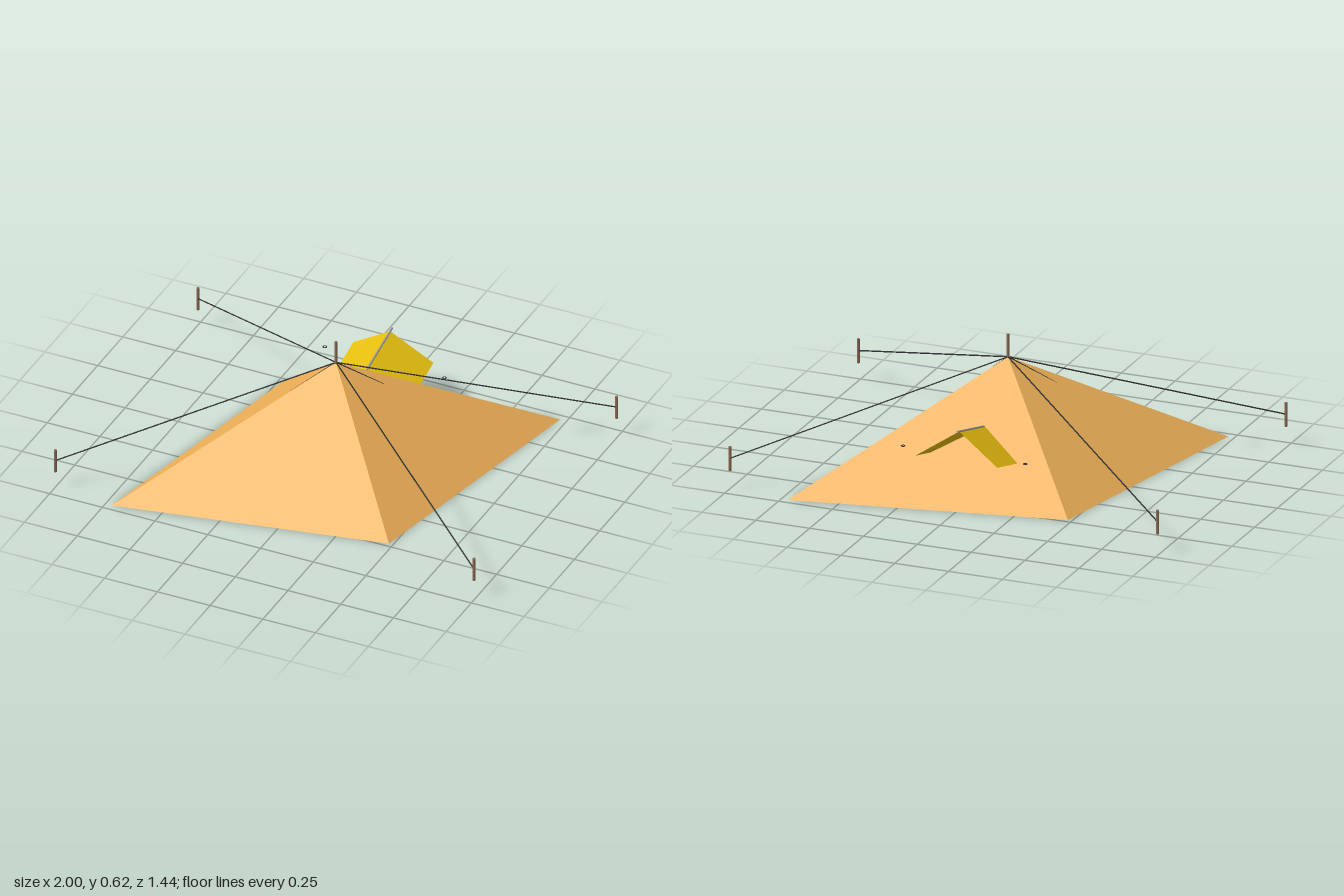
import * as THREE from 'three';

const APEX = new THREE.Vector3(0, 0.51, 0);

const paint = (color, extra = {}) => {
  const m = new THREE.MeshStandardMaterial({ color, ...extra });
  return m;
};

// Flat-shaded surface from corner points and triangles
function facets(points, triangles) {
  const g = new THREE.BufferGeometry();
  g.setAttribute('position', new THREE.Float32BufferAttribute(triangles.flat().flatMap(i => points[i]), 3));
  g.computeVertexNormals();
  return g;
}

// Round bar between two points
function bar(name, a, b, radius, material, sides = 8) {
  const mesh = new THREE.Mesh(new THREE.CylinderGeometry(radius, radius, a.distanceTo(b), sides), material);
  mesh.position.copy(a).lerp(b, 0.5);
  mesh.quaternion.setFromUnitVectors(new THREE.Vector3(0, 1, 0), b.clone().sub(a).normalize());
  mesh.name = name;
  return mesh;
}

export function createModel() {
  const model = new THREE.Group();
  model.name = 'tent';
  const V = (x, y, z) => new THREE.Vector3(x, y, z);
  const canvas = paint(0xf4b45a, { side: THREE.DoubleSide, flatShading: true });
  const yellow = paint(0xe8c010, { side: THREE.DoubleSide, flatShading: true });
  const wood = paint(0x8b6a55);
  const cord = paint(0x333333);
  const metal = paint(0x999999);

  // Skewed pyramid with a closed floor
  const corners = [
    APEX.toArray(),
    [-0.72, 0, 0.72], [0.48, 0, 0.48], [0.72, 0, -0.72], [-0.48, 0, -0.48],
  ];
  const tent = new THREE.Mesh(
    facets(corners, [[0, 1, 2], [0, 2, 3], [0, 3, 4], [0, 4, 1], [1, 4, 3], [1, 3, 2]]), canvas);
  tent.name = 'canvas';
  model.add(tent);

  // Centre pole
  model.add(bar('centrePole', V(0, 0.01, 0), V(0, 0.615, 0), 0.006, wood));

  // Stakes and guy ropes
  for (const sx of [-1, 1]) {
    for (const sz of [-1, 1]) {
      const x = 0.993 * sx, z = 0.708 * sz;
      model.add(bar('stake', V(x, 0.09, z), V(x, 0.2, z), 0.007, wood));
      model.add(bar('guyRope', APEX, V(x, 0.146, z), 0.003, cord, 6));
    }
  }

  // Short cords lying on the two side faces
  for (const s of [-1, 1]) {
    model.add(bar('sideCord', APEX, V(0.45 * s, 0.158, -0.315 * s), 0.003, cord, 6));
  }

  // Entrance awning, running into the rear face
  const awning = new THREE.Mesh(facets([
    [0, 0.355, -0.538], [0, 0.28, -0.25],
    [0.19, 0.228, -0.57], [0.19, 0.17, -0.35],
    [-0.19, 0.228, -0.57], [-0.19, 0.16, -0.31],
  ], [[0, 1, 3], [0, 3, 2], [0, 4, 5], [0, 5, 1]]), yellow);
  awning.name = 'awning';
  model.add(awning);
  model.add(bar('awningRidgePole', V(0, 0.285, -0.27), V(0, 0.36, -0.558), 0.005, metal));

  // Small rings either side of the awning
  for (const s of [-1, 1]) {
    const ring = new THREE.Mesh(new THREE.TorusGeometry(0.008, 0.002, 6, 16), cord);
    ring.rotation.x = Math.PI / 2;
    ring.position.set(0.284 * s, 0.229, -0.483);
    ring.name = 'ring';
    model.add(ring);
  }

  return model;
}
